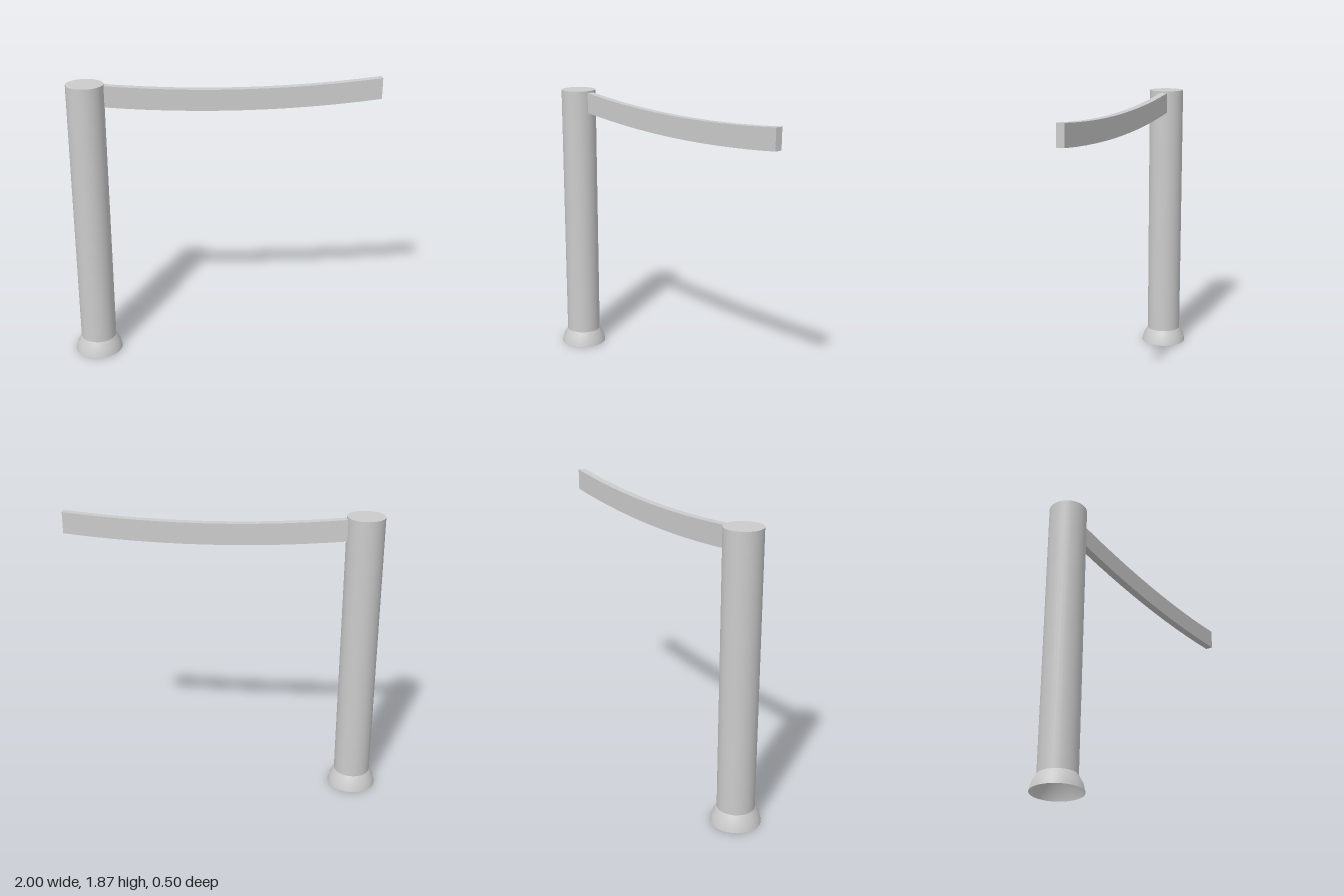
import * as THREE from 'three';

export function createModel() {
  const group = new THREE.Group();
  const openGrey = new THREE.MeshStandardMaterial({ color: 0xcccccc, side: THREE.DoubleSide });
  const flatGrey = new THREE.MeshStandardMaterial({ color: 0xcccccc, flatShading: true });
  const add = (name, geometry, material, x, y, z) => {
    const mesh = new THREE.Mesh(geometry, material);
    mesh.name = name;
    mesh.position.set(x, y, z);
    group.add(mesh);
    return mesh;
  };

  const postX = -0.842, postZ = 0.092, postR = 0.118;
  const sides = 32, footTop = 0.1, postTop = 1.867;

  // Round post, open underneath, with a flat cap
  const height = postTop - footTop;
  add('post', new THREE.CylinderGeometry(postR, postR, height, sides, 1, true),
    openGrey, postX, footTop + height / 2, postZ);
  const cap = add('postCap', new THREE.CircleGeometry(postR, sides), flatGrey, postX, postTop, postZ);
  cap.rotation.x = -Math.PI / 2;

  // Flared hollow foot
  const profile = [[0.158, 0], [0.146, 0.05], [postR, footTop]].map(([r, y]) => new THREE.Vector2(r, y));
  add('foot', new THREE.LatheGeometry(profile, sides), openGrey, postX, 0, postZ);

  // Sagging arm: a parabolic strip in side outline, extruded to its thickness
  const length = 1.79, depth = 0.136, thickness = 0.05, steps = 12;
  const sag = (u) => 1.675 + 0.06 * (u + 0.907) ** 2;
  const us = Array.from({ length: steps + 1 }, (_, i) => -length + (length * i) / steps);
  const outline = [
    ...us.map((u) => new THREE.Vector2(u, sag(u))),
    ...us.slice().reverse().map((u) => new THREE.Vector2(u, sag(u) + depth)),
  ];
  const armGeometry = new THREE.ExtrudeGeometry(new THREE.Shape(outline), { depth: thickness, bevelEnabled: false });
  armGeometry.translate(0, 0, -thickness / 2);
  const arm = add('arm', armGeometry, flatGrey, 0.996, 0, -0.228);
  arm.rotation.y = THREE.MathUtils.degToRad(9.4);

  return group;
}
